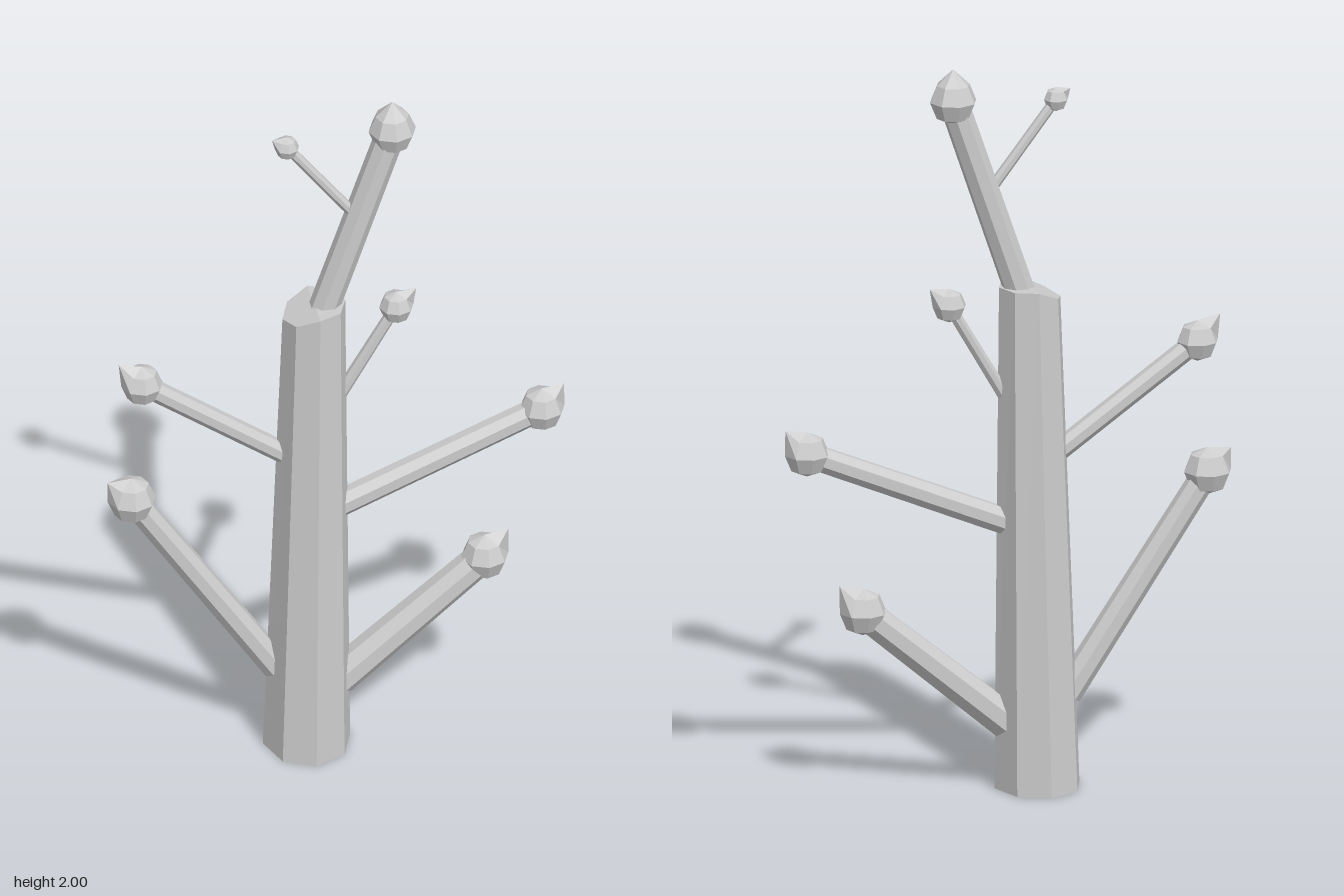
import * as THREE from 'three';

const material = new THREE.MeshStandardMaterial({ color: 0xcccccc, flatShading: true });

// Eight-sided trunk: tapered, leaning slightly, with one side of the top cut down
function makeTrunk() {
  const geo = new THREE.CylinderGeometry(1, 1, 1, 8, 1);
  const p = geo.attributes.position;
  for (let i = 0; i < p.count; i++) {
    const x = p.getX(i), z = p.getZ(i);
    if (p.getY(i) > 0) {
      p.setXYZ(i, -0.062 + x * 0.085, 1.385 + Math.min(0, x) * 0.038, z * 0.087);
    } else {
      p.setXYZ(i, -0.082 + x * 0.118, 0, z * 0.135);
    }
  }
  const mesh = new THREE.Mesh(geo, material);
  mesh.name = 'trunk';
  return mesh;
}

// Tapered eight-sided limb between two points in the z = 0 plane
function makeBranch(from, to, r0, r1) {
  const a = new THREE.Vector3(from[0], from[1], 0);
  const b = new THREE.Vector3(to[0], to[1], 0);
  const dir = b.clone().sub(a);
  const length = dir.length();
  dir.normalize();
  const geo = new THREE.CylinderGeometry(r1, r0, length, 8, 1);
  geo.rotateY(Math.PI / 8);
  const mesh = new THREE.Mesh(geo, material);
  mesh.position.copy(a).add(b).multiplyScalar(0.5);
  mesh.quaternion.setFromUnitVectors(new THREE.Vector3(0, 1, 0), dir);
  mesh.name = 'branch';
  return mesh;
}

// Faceted ball with a single vertex pulled out to a point
function makeBud(center, r, tip) {
  const geo = new THREE.SphereGeometry(r, 8, 4);
  const p = geo.attributes.position;
  const offset = new THREE.Vector3(tip[0] - center[0], tip[1] - center[1], 0);
  const side = Math.sign(Math.round(offset.x * 100));
  const target = new THREE.Vector3(side, 1, 0).normalize().multiplyScalar(r);
  const v = new THREE.Vector3();
  for (let i = 0; i < p.count; i++) {
    v.fromBufferAttribute(p, i);
    if (v.distanceTo(target) < r * 0.1) p.setXYZ(i, offset.x, offset.y, 0);
  }
  const mesh = new THREE.Mesh(geo, material);
  mesh.position.set(center[0], center[1], 0);
  mesh.name = 'bud';
  return mesh;
}

export function createModel() {
  const group = new THREE.Group();
  group.name = 'budding tree';
  group.add(makeTrunk());

  const limbs = [
    { name: 'topLimb', from: [-0.038, 1.36], to: [0.15, 1.912], r: [0.041, 0.04], bud: 0.064, tip: [0.15, 2.0] },
    { name: 'topTwig', from: [0.045, 1.66], to: [-0.135, 1.893], r: [0.015, 0.014], bud: 0.033, tip: [-0.175, 1.92] },
    { name: 'lowerRightLimb', from: [-0.165, 0.245], to: [-0.555, 0.828], r: [0.04, 0.036], bud: 0.065, tip: [-0.62, 0.887] },
    { name: 'upperRightLimb', from: [-0.14, 0.918], to: [-0.527, 1.19], r: [0.029, 0.029], bud: 0.056, tip: [-0.59, 1.26] },
    { name: 'lowerLeftLimb', from: [0.005, 0.185], to: [0.4, 0.52], r: [0.051, 0.044], bud: 0.064, tip: [0.465, 0.598] },
    { name: 'middleLeftLimb', from: [0.0, 0.735], to: [0.555, 0.97], r: [0.037, 0.035], bud: 0.061, tip: [0.615, 1.04] },
    { name: 'leftTwig', from: [0.005, 1.08], to: [0.161, 1.347], r: [0.018, 0.016], bud: 0.046, tip: [0.215, 1.397] },
  ];

  // Each limb carries a bud on its end
  for (const l of limbs) {
    const limb = new THREE.Group();
    limb.name = l.name;
    limb.add(makeBranch(l.from, l.to, l.r[0], l.r[1]), makeBud(l.to, l.bud, l.tip));
    group.add(limb);
  }
  return group;
}
